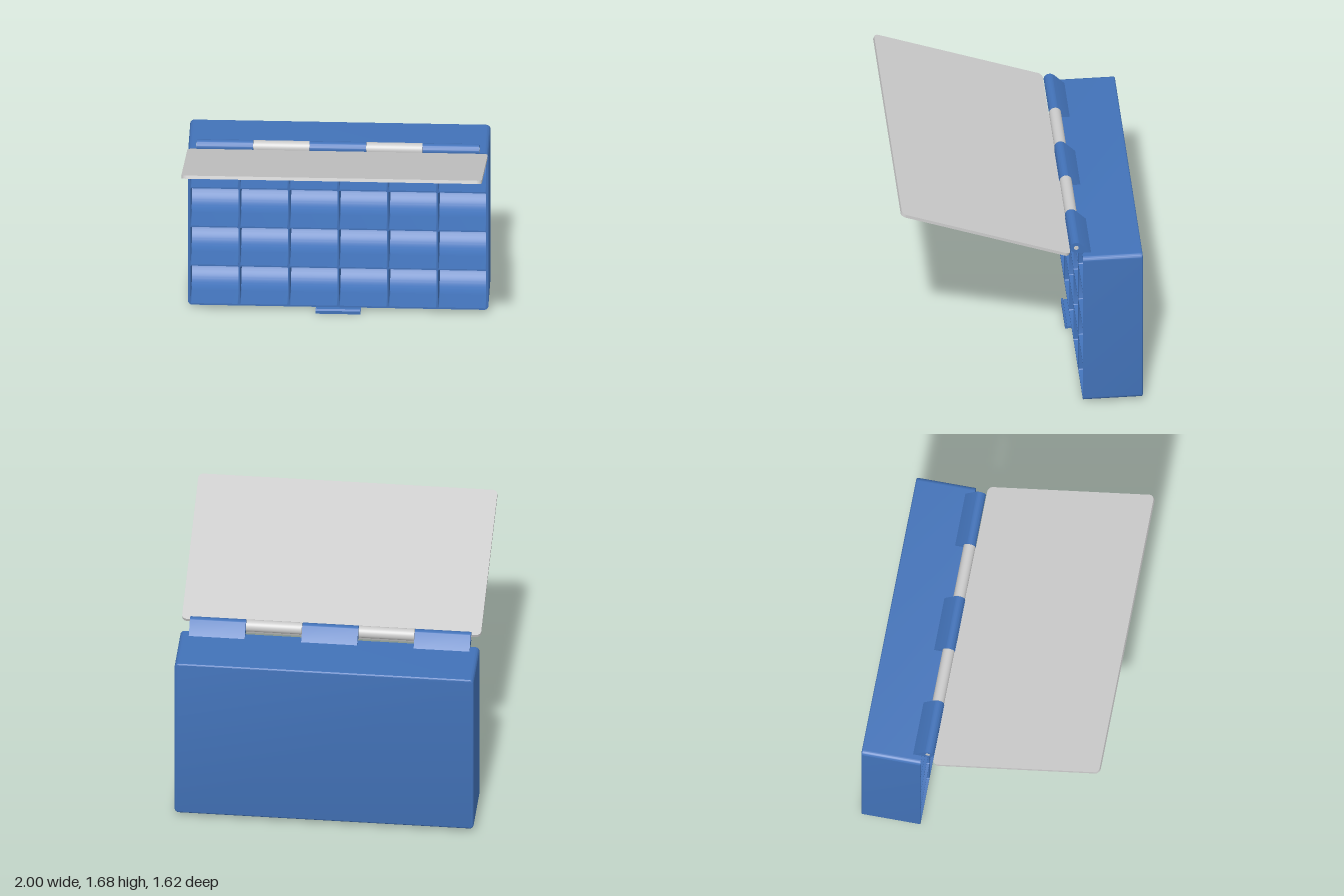
import * as THREE from 'three';
import { toCreasedNormals } from 'three/addons/utils/BufferGeometryUtils.js';

const blue = new THREE.MeshStandardMaterial({ color: 0x4272b8 });
const grey = new THREE.MeshStandardMaterial({ color: 0xcccccc });

const BOTTOM = 0.03, TOP = 1.22, BACK = -0.81, FRONT = -0.41;
const PIN_Y = 1.265, PIN_Z = -0.37, KNUCKLE_R = 0.04;

function roundedRect(x0, y0, x1, y1, r, PathType = THREE.Shape) {
  const p = new PathType();
  p.absarc(x1 - r, y0 + r, r, -Math.PI / 2, 0);
  p.absarc(x1 - r, y1 - r, r, 0, Math.PI / 2);
  p.absarc(x0 + r, y1 - r, r, Math.PI / 2, Math.PI);
  p.absarc(x0 + r, y0 + r, r, Math.PI, Math.PI * 1.5);
  p.closePath();
  return p;
}

function extrude(shape, depth, options = {}) {
  const geo = new THREE.ExtrudeGeometry(shape, { depth, bevelEnabled: false, curveSegments: 6, ...options });
  return toCreasedNormals(geo, 0.6);
}

// Extrudes a (z, y) profile along x, centred on x = 0
function extrudeAcross(shape, width) {
  return extrude(shape, width, { curveSegments: 16 }).translate(0, 0, -width / 2).rotateY(-Math.PI / 2);
}

function add(parent, name, geometry, material, x = 0, y = 0, z = 0) {
  const mesh = new THREE.Mesh(geometry, material);
  mesh.name = name;
  mesh.position.set(x, y, z);
  parent.add(mesh);
  return mesh;
}

function createCase() {
  const group = new THREE.Group();
  group.name = 'compartmentCase';

  // Outer walls and dividers: one slab pierced by 6 x 4 compartments
  const cols = 6, rows = 4, gap = 0.01;
  const left = -0.985, floor = BOTTOM + 0.012;
  const cellW = (1.97 - gap * (cols - 1)) / cols;
  const cellH = (TOP - BOTTOM - 0.024 - gap * (rows - 1)) / rows;
  const walls = roundedRect(-1, BOTTOM, 1, TOP, 0.03);
  for (let c = 0; c < cols; c++) {
    for (let r = 0; r < rows; r++) {
      const x = left + c * (cellW + gap), y = floor + r * (cellH + gap);
      walls.holes.push(roundedRect(x, y, x + cellW, y + cellH, 0.008, THREE.Path));
    }
  }
  add(group, 'wallsAndDividers', extrude(walls, FRONT - BACK - 0.015), blue, 0, 0, BACK + 0.015);

  // Back panel with softened rear edges
  const panel = roundedRect(-0.99, BOTTOM + 0.01, 0.99, TOP - 0.01, 0.02);
  const panelGeo = extrude(panel, 0.01, { bevelEnabled: true, bevelSize: 0.01, bevelThickness: 0.01, bevelSegments: 3 });
  add(group, 'backPanel', panelGeo, blue, 0, 0, BACK + 0.01);

  // Curved scoop along the bottom rear of every row
  const R = 0.18, e = 0.004, zb = BACK + 0.03;
  const scoop = new THREE.Shape();
  scoop.moveTo(zb - e, -e);
  scoop.lineTo(zb + R, -e);
  scoop.absarc(zb + R, R, R, -Math.PI / 2, -Math.PI, true);
  scoop.lineTo(zb - e, R);
  scoop.closePath();
  const scoopGeo = extrudeAcross(scoop, 1.972);
  for (let r = 0; r < rows; r++) add(group, 'rowScoop', scoopGeo, blue, 0, floor + r * (cellH + gap), 0);
  return group;
}

function createHinge() {
  const group = new THREE.Group();
  group.name = 'hinge';

  // Case knuckles: a barrel with a 45 degree web down to the case top
  const web = new THREE.Shape();
  web.moveTo(PIN_Z - 0.102, TOP - 0.003);
  web.lineTo(PIN_Z - 0.035, TOP - 0.003);
  web.absarc(PIN_Z, PIN_Y, KNUCKLE_R, -Math.PI / 2, Math.PI * 0.75);
  web.closePath();
  for (const x of [-0.752, 0, 0.752]) add(group, 'caseKnuckle', extrudeAcross(web, 0.374), blue, x);

  // Lid knuckles and the pin through them all
  const barrel = new THREE.CylinderGeometry(KNUCKLE_R, KNUCKLE_R, 0.372, 32).rotateZ(Math.PI / 2);
  for (const x of [-0.376, 0.376]) add(group, 'lidKnuckle', barrel, grey, x, PIN_Y, PIN_Z);
  const pin = new THREE.CylinderGeometry(0.016, 0.016, 1.882, 24).rotateZ(Math.PI / 2);
  add(group, 'hingePin', pin, grey, 0, PIN_Y, PIN_Z);
  return group;
}

function createLid() {
  const group = new THREE.Group();
  group.name = 'lid';
  add(group, 'lidPanel', extrude(roundedRect(-1, 0, 1, 1.2, 0.035), 0.022), grey, 0, 0, -0.011);
  // Leaves joining the panel to its knuckles
  for (const x of [-0.376, 0.376]) {
    add(group, 'lidHingeLeaf', new THREE.BoxGeometry(0.372, 0.09, 0.0218), grey, x, -0.025, 0);
  }
  group.position.set(0, 1.25, -0.323);
  group.rotation.x = THREE.MathUtils.degToRad(69.75);
  return group;
}

function createLatch() {
  // Hooked tongue fixed under the case
  const s = new THREE.Shape([
    [-0.545, 0], [-0.37, 0], [-0.37, 0.022], [-0.382, 0.031], [-0.385, 0.016],
    [-0.51, 0.016], [-0.51, 0.032], [-0.545, 0.032],
  ].map(([z, y]) => new THREE.Vector2(z, y)));
  const mesh = new THREE.Mesh(extrudeAcross(s, 0.3), blue);
  mesh.name = 'latch';
  return mesh;
}

export function createModel() {
  const model = new THREE.Group();
  model.name = 'compartmentBox';
  model.add(createCase(), createHinge(), createLid(), createLatch());
  return model;
}
